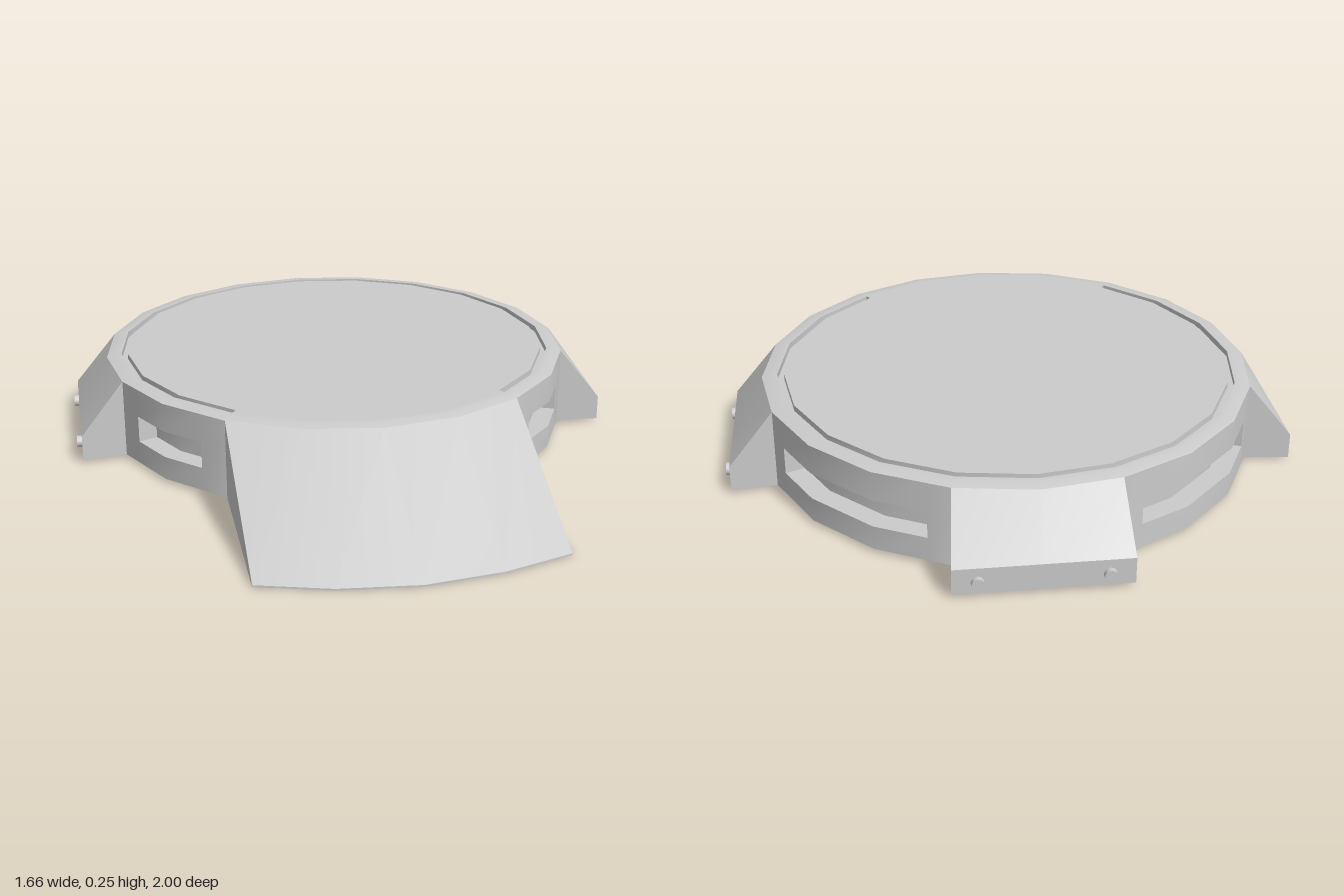
import * as THREE from 'three';
import { toCreasedNormals } from 'three/addons/utils/BufferGeometryUtils.js';

const R = 0.72, FLOOR = 0.01, EDGE = 0.246, TOP = 0.253;
const DEG = Math.PI / 180;
const material = new THREE.MeshStandardMaterial({ color: 0xcccccc });

// Point on a 20-sided ring; angle 0 is the front and grows towards +x
function P(a, [r, y]) {
  const off = (((a % 18) + 18) % 18) - 9;
  const d = r * Math.cos(9 * DEG) / Math.cos(off * DEG);
  return [d * Math.sin(a * DEG), y, d * Math.cos(a * DEG)];
}

// Collects quads (corners counter-clockwise from outside) into a mesh
function builder() {
  const pos = [];
  const same = (p, q) => p.every((v, i) => Math.abs(v - q[i]) < 1e-7);
  const tri = (a, b, c) => {
    if (!same(a, b) && !same(b, c) && !same(a, c)) pos.push(...a, ...b, ...c);
  };
  return {
    quad(a, b, c, d) { tri(a, b, c); tri(a, c, d); },
    mesh(name) {
      const g = new THREE.BufferGeometry();
      g.setAttribute('position', new THREE.Float32BufferAttribute(pos, 3));
      const m = new THREE.Mesh(toCreasedNormals(g, 24 * DEG), material);
      m.name = name;
      return m;
    },
  };
}

// Round body with recessed wall slots and a groove in the top
function createBody() {
  const b = builder();
  const slots = [[43, 65.5], [113, 156.5], [-65.5, -43], [-156.5, -113]];
  const slot = [[R, 0.08], [0.66, 0.08], [0.66, 0.16], [R, 0.16]];
  const groove = [[0.675, TOP], [0.675, 0.235], [0.655, 0.235], [0.655, TOP]];
  const angles = slots.flat();
  for (let a = -180; a <= 180; a += 18) angles.push(a);
  angles.sort((p, q) => p - q);

  for (let i = 0; i + 1 < angles.length; i++) {
    const a0 = angles[i], a1 = angles[i + 1], mid = (a0 + a1) / 2;
    const inSlot = slots.some(([s, e]) => mid > s && mid < e);
    const profile = [
      [0, FLOOR], [R, FLOOR], ...(inSlot ? slot : []), [R, EDGE], [0.69, TOP],
      ...(Math.abs(mid) > 36 ? groove : [groove[0], groove[3]]), [0, TOP],
    ];
    for (let k = 0; k + 1 < profile.length; k++) {
      const lo = profile[k], hi = profile[k + 1];
      b.quad(P(a0, lo), P(a1, lo), P(a1, hi), P(a0, hi));
    }
  }
  // End walls of the slots and of the groove
  const ends = (from, to, corners) => {
    b.quad(...corners.map((c) => P(from, c)));
    b.quad(...corners.map((c) => P(to, c)).reverse());
  };
  for (const [s, e] of slots) ends(s, e, slot);
  ends(36, -36, [groove[1], groove[2], groove[3], groove[0]]);
  return b.mesh('roundBody');
}

// Wedge from the rim out to an outer edge, pointing to +z
// outer: [sideways, distance] for each rim angle
function createWedge(name, angles, outer, lipY, baseY) {
  const b = builder();
  const rows = angles.map((a, i) => {
    const [u, d] = outer[i];
    return [P(a, [R, FLOOR]), [u, baseY, d], [u, lipY, d], P(a, [R, EDGE])];
  });
  for (let i = 0; i + 1 < rows.length; i++) {
    for (let k = 0; k < 3; k++) {
      b.quad(rows[i][k], rows[i + 1][k], rows[i + 1][k + 1], rows[i][k + 1]);
    }
  }
  b.quad(...rows[0]);
  b.quad(...rows[rows.length - 1].slice().reverse());
  return b.mesh(name);
}

// Sloped block with two pins on its outer face
function createPod(name, angle) {
  const pod = new THREE.Group();
  pod.name = name;
  const D = 0.815;
  pod.add(createWedge('podBlock', [-18, 0, 18], [[-0.237, D], [0, D], [0.237, D]], 0.085, FLOOR));
  for (const side of [-1, 1]) {
    const pin = new THREE.Mesh(new THREE.CylinderGeometry(0.018, 0.018, 0.03, 12), material);
    pin.name = 'pin';
    pin.rotation.x = Math.PI / 2;
    pin.position.set(side * 0.17, 0.043, D);
    pod.add(pin);
  }
  pod.rotation.y = angle * DEG;
  return pod;
}

export function createModel() {
  const model = new THREE.Group();
  model.name = 'rampedPlatform';
  const parts = new THREE.Group();
  parts.name = 'platform';
  parts.position.z = -0.17;
  parts.add(createBody());

  // Front ramp with a bowed leading edge
  const rampAngles = [-36, -18, 0, 18, 36];
  const reach = [1.085, 1.145, 1.17, 1.145, 1.085];
  const edge = rampAngles.map((a, i) => [P(a, [R, 0])[0], reach[i]]);
  parts.add(createWedge('frontRamp', rampAngles, edge, 0.005, 0));

  parts.add(createPod('leftPod', 90), createPod('rightPod', -90), createPod('backPod', 180));
  model.add(parts);
  return model;
}
